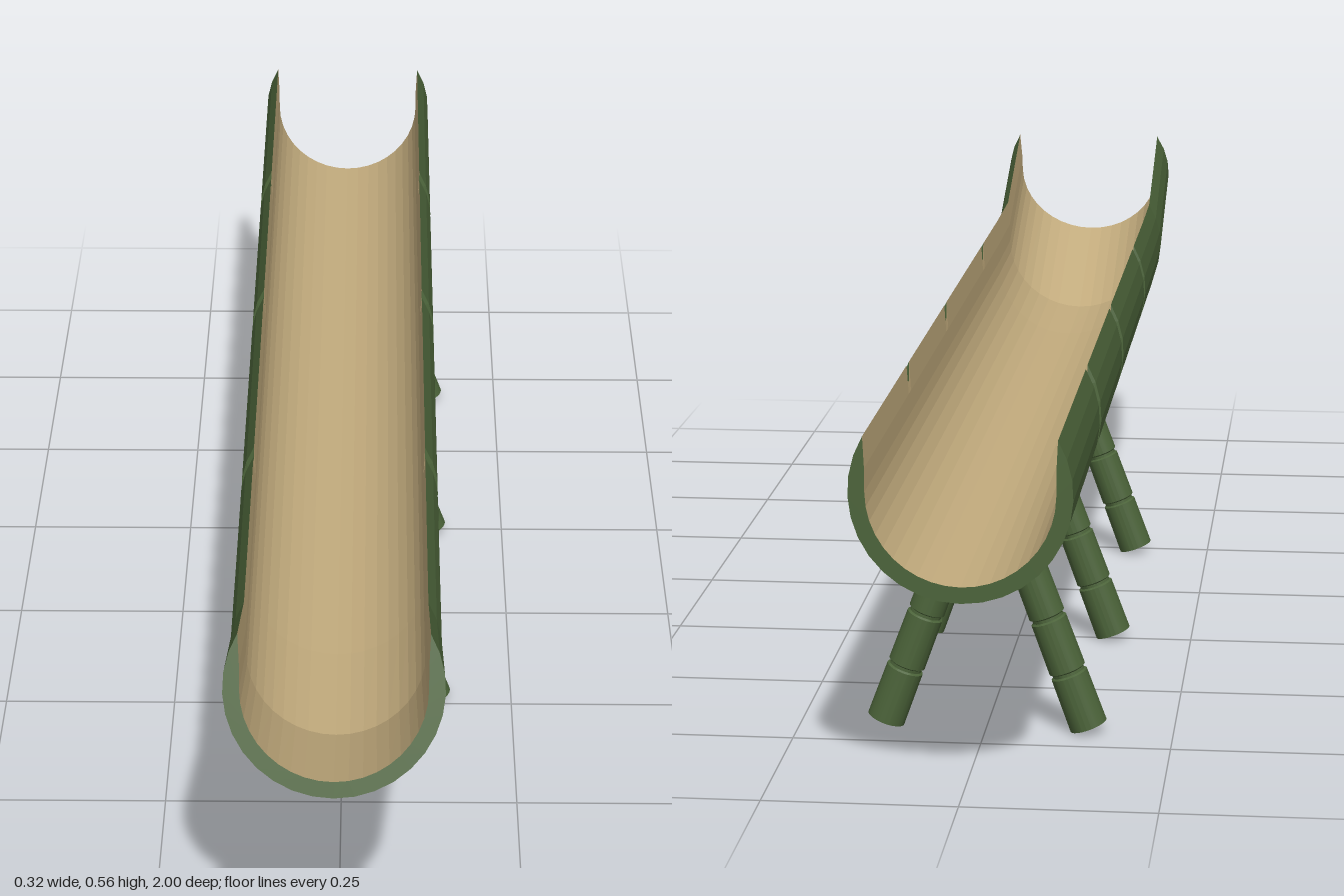
import * as THREE from 'three';
import { toCreasedNormals } from 'three/addons/utils/BufferGeometryUtils.js';

const GREEN = 0x4b6339, TAN = 0xc2ab7d;
const R = 0.139, INNER = 0.118, RIM = 0.12, STEPS = 22, CX = -0.004, CY = 0.402;
const JOINTS = [-0.575, -0.16, 0.323];

const shellGreen = new THREE.MeshStandardMaterial({ color: GREEN, flatShading: true, side: THREE.DoubleSide });
const shellTan = new THREE.MeshStandardMaterial({ color: TAN, flatShading: true, side: THREE.DoubleSide });
const legGreen = new THREE.MeshStandardMaterial({ color: GREEN });

// Outer arc from the left rim under the belly to the right rim
function outerProfile(r) {
  const a = Math.acos(RIM / r), pts = [];
  for (let i = 0; i <= STEPS; i++) {
    const t = a - (i / STEPS) * (Math.PI + 2 * a);
    pts.push([r * Math.cos(t), r * Math.sin(t)]);
  }
  return pts;
}

// Inner channel: half circle with short upright walls
function innerProfile() {
  const pts = [[INNER, 0.03]];
  for (let i = 0; i <= STEPS - 2; i++) {
    const t = -Math.PI * i / (STEPS - 2);
    pts.push([INNER * Math.cos(t), INNER * Math.sin(t)]);
  }
  pts.push([-INNER, 0.03]);
  return pts;
}

// Puts a profile at a station of the trough, tilted about x
const place = (pts, s) => pts.map(([x, v]) =>
  [x + CX, s.y + v * Math.cos(s.tilt), s.z - v * Math.sin(s.tilt)]);

// Skin between rows of points
function loft(rows) {
  const n = rows[0].length, index = [];
  for (let j = 0; j < rows.length - 1; j++) {
    for (let i = 0; i < n - 1; i++) {
      const a = j * n + i, b = a + n;
      index.push(a, b, a + 1, b, b + 1, a + 1);
    }
  }
  const g = new THREE.BufferGeometry();
  g.setAttribute('position', new THREE.Float32BufferAttribute(rows.flat(2), 3));
  g.setIndex(index);
  g.computeVertexNormals();
  return g;
}

function buildTrough() {
  const group = new THREE.Group();
  group.name = 'trough';
  const add = (name, rows, mat) => {
    const m = new THREE.Mesh(loft(rows), mat);
    m.name = name;
    group.add(m);
  };

  // Stations from the back end to the raised front end
  const st = (z, r = R, y = CY, tilt = 0) => ({ z, r, y, tilt });
  const stations = [st(-1)];
  for (const z of JOINTS) {
    stations.push(st(z - 0.014), st(z - 0.008, 0.128), st(z + 0.008, 0.128), st(z + 0.014));
  }
  stations.push(st(0.55), st(0.73, R, 0.406, 0.19), st(0.95, R, 0.495, 0.375));

  const outer = stations.map(s => place(outerProfile(s.r), s));
  const inner = stations.map(s => place(innerProfile(), s));

  // Green lengths, split by the tan floors of the joint grooves
  let start = 0;
  JOINTS.forEach((_, k) => {
    const f = 2 + 4 * k;
    add('outerSection', outer.slice(start, f + 1), shellGreen);
    add('jointRing', outer.slice(f, f + 2), shellTan);
    start = f + 1;
  });
  add('outerSection', outer.slice(start), shellGreen);

  // Lining and the thin sloping rims
  add('lining', inner.map(r => r.slice().reverse()), shellTan);
  add('leftRim', outer.map((r, i) => [inner[i][0], r[0]]), shellTan);
  add('rightRim', outer.map((r, i) => [r[STEPS], inner[i][STEPS]]), shellTan);

  // Cut ends
  const last = stations.length - 1;
  add('frontEnd', [outer[last], inner[last]], shellGreen);
  add('backEnd', [inner[0], outer[0]], shellGreen);
  return group;
}

// Cane leg with three narrow grooves
function legGeometry() {
  const len = 0.282, r0 = 0.0255, r1 = 0.0235;
  const rad = y => r0 + (r1 - r0) * y / len;
  const pts = [[0, 0], [r0, 0]];
  for (const y of [0.079, 0.158, 0.24]) {
    pts.push([rad(y), y - 0.004], [rad(y) - 0.003, y - 0.002],
      [rad(y) - 0.003, y + 0.002], [rad(y), y + 0.004]);
  }
  pts.push([r1, len], [0, len]);
  const lathe = new THREE.LatheGeometry(pts.map(p => new THREE.Vector2(...p)), 24);
  return toCreasedNormals(lathe, 0.5);
}

export function createModel() {
  const model = new THREE.Group();
  model.name = 'caneTrough';
  model.add(buildTrough());

  // Three splayed pairs of legs
  const geo = legGeometry();
  for (const z of [0.235, -0.245, -0.682]) {
    const pair = new THREE.Group();
    pair.name = 'legPair';
    for (const side of [1, -1]) {
      const leg = new THREE.Mesh(geo, legGreen);
      leg.name = side > 0 ? 'leftLeg' : 'rightLeg';
      leg.position.set(side * 0.136 - 0.001, 0.009, z + side * 0.003);
      leg.rotation.z = side * 0.353;
      pair.add(leg);
    }
    model.add(pair);
  }
  return model;
}
